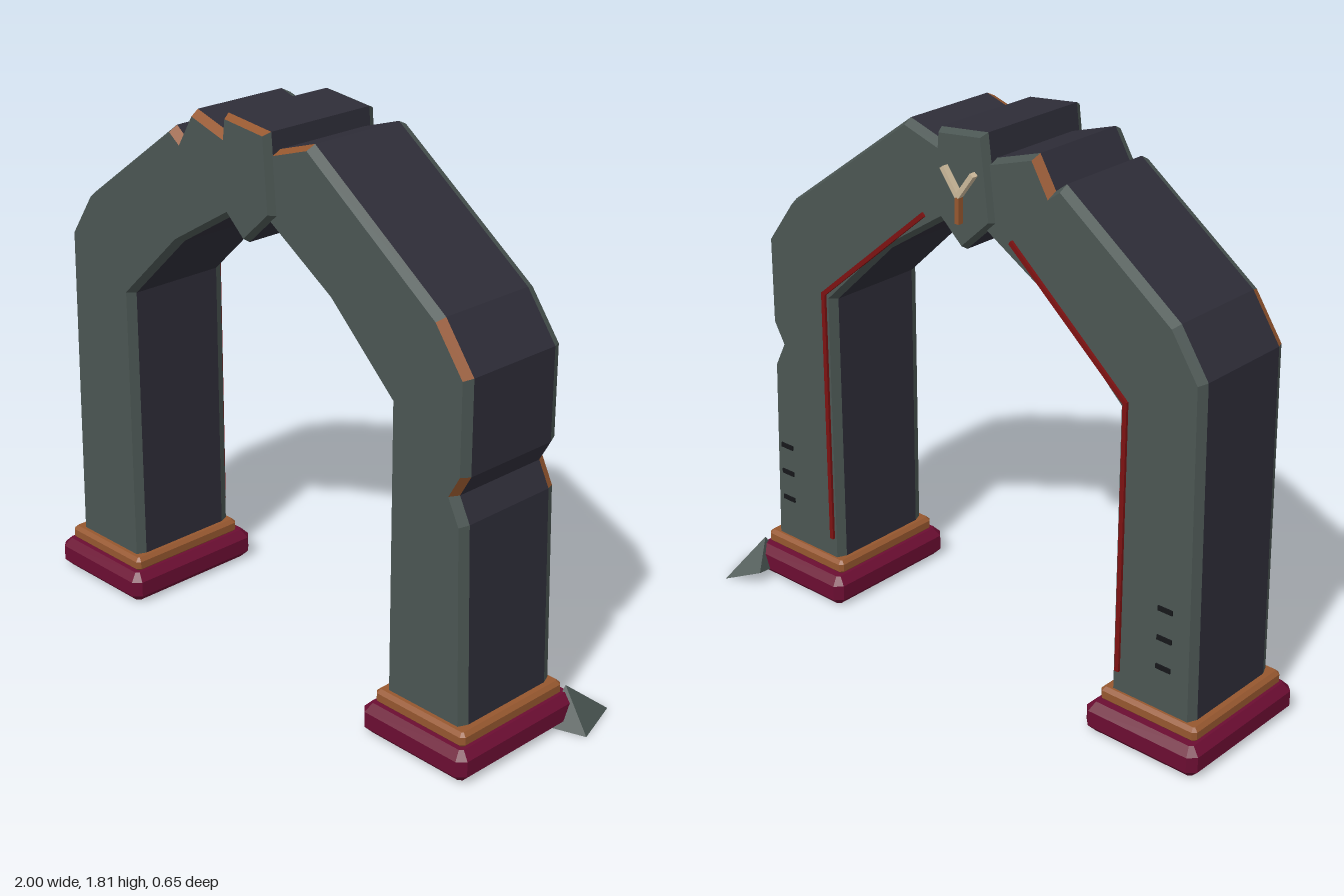
import * as THREE from 'three';
import { ConvexGeometry } from 'three/addons/geometries/ConvexGeometry.js';

const mat = (name, color) => Object.assign(new THREE.MeshStandardMaterial({ color }), { name });

// Prism with chamfered front and back rims. outline: counter-clockwise [x, y] points.
// Material slots: 0 faces and rims, 1 side walls, 2 worn rims (edge numbers in wornFront / wornBack).
function bevelPrism(outline, zBack, zFront, inset, depth, wornFront = [], wornBack = []) {
  const pts = outline.map(([x, y]) => new THREE.Vector2(x, y));
  const n = pts.length;
  const normal = (i) => {
    const d = pts[(i + 1) % n].clone().sub(pts[i % n]).normalize();
    return new THREE.Vector2(-d.y, d.x);
  };
  const inner = pts.map((p, i) => {
    const a = normal(i + n - 1), b = normal(i);
    return p.clone().addScaledVector(a.clone().add(b), inset / (1 + a.dot(b)));
  });
  const pos = [];
  const geo = new THREE.BufferGeometry();
  const face = (slot, ...corners) => {
    const start = pos.length / 3;
    for (let k = 1; k < corners.length - 1; k++)
      for (const [p, z] of [corners[0], corners[k], corners[k + 1]]) pos.push(p.x, p.y, z);
    geo.addGroup(start, pos.length / 3 - start, slot);
  };
  // Front and back caps
  for (const [a, b, c] of THREE.ShapeUtils.triangulateShape(inner, [])) {
    face(0, [inner[a], zFront], [inner[b], zFront], [inner[c], zFront]);
    face(0, [inner[c], zBack], [inner[b], zBack], [inner[a], zBack]);
  }
  // Walls and rims
  const zf = zFront - depth, zb = zBack + depth;
  for (let i = 0; i < n; i++) {
    const j = (i + 1) % n;
    face(1, [pts[i], zb], [pts[j], zb], [pts[j], zf], [pts[i], zf]);
    face(wornFront.includes(i) ? 2 : 0, [pts[i], zf], [pts[j], zf], [inner[j], zFront], [inner[i], zFront]);
    face(wornBack.includes(i) ? 2 : 0, [inner[i], zBack], [inner[j], zBack], [pts[j], zb], [pts[i], zb]);
  }
  geo.setAttribute('position', new THREE.Float32BufferAttribute(pos, 3));
  geo.computeVertexNormals();
  return geo;
}

// Flat slab with cut corners and chamfered top and bottom rims
function slab(x0, x1, z0, z1, y0, y1, cut, depth) {
  const a = -z1, b = -z0;
  const outline = [
    [x0 + cut, a], [x1 - cut, a], [x1, a + cut], [x1, b - cut],
    [x1 - cut, b], [x0 + cut, b], [x0, b - cut], [x0, a + cut],
  ];
  return bevelPrism(outline, y0, y1, cut, depth).rotateX(-Math.PI / 2);
}

// Straight bar between two points in the xy plane
function bar(x0, y0, x1, y1, width, thick, z) {
  return new THREE.BoxGeometry(Math.hypot(x1 - x0, y1 - y0), width, thick)
    .rotateZ(Math.atan2(y1 - y0, x1 - x0))
    .translate((x0 + x1) / 2, (y0 + y1) / 2, z);
}

export function createModel() {
  const stone = mat('greenGreyStone', 0x4b5653);
  const dark = mat('darkSlate', 0x2e2d38);
  const copper = mat('wornCopper', 0x96572f);
  const crimson = mat('crimsonBase', 0x6b0d32);
  const red = mat('redInlay', 0x7d1212);
  const bone = mat('paleBone', 0xcbb899);
  const black = mat('blackSlot', 0x16171a);
  const body = [stone, dark, copper];

  const model = new THREE.Group();
  model.name = 'archway';
  const add = (name, geo, material, parent = model) => {
    const mesh = new THREE.Mesh(geo, material);
    mesh.name = name;
    parent.add(mesh);
    return mesh;
  };

  // Arch halves, chipped along the outer edge
  const rightHalf = [
    [-0.94, 0.12], [-0.63, 0.12], [-0.63, 1.1], [-0.38, 1.34], [-0.04, 1.545], [-0.04, 1.7],
    [-0.3, 1.78], [-0.36, 1.68], [-0.4, 1.71], [-0.82, 1.4], [-0.92, 1.25],
  ];
  const leftHalf = [
    [0.55, 0.12], [0.86, 0.12], [0.84, 0.8], [0.8, 0.88], [0.84, 0.95], [0.84, 1.25],
    [0.73, 1.4], [0.21, 1.78], [-0.04, 1.7], [-0.04, 1.56], [0.3, 1.34], [0.55, 1.1],
  ];
  add('rightArchHalf', bevelPrism(rightHalf, -0.145, 0.26, 0.014, 0.032, [5, 7, 9], [6]), body);
  add('leftArchHalf', bevelPrism(leftHalf, -0.145, 0.26, 0.014, 0.032, [3, 5, 7], [2]), body);

  // Keystone
  const keystone = [[-0.125, 1.81], [-0.16, 1.54], [-0.04, 1.43], [0.08, 1.54], [0.06, 1.79]];
  add('keystone', bevelPrism(keystone, -0.165, 0.285, 0.012, 0.026, [4]), body);

  // Forked ornament on the back of the keystone
  const ornament = new THREE.Group();
  ornament.name = 'forkedOrnament';
  model.add(ornament);
  for (const s of [-1, 1])
    add('ornamentArm', bar(-0.04, 1.605, -0.04 + s * 0.06, 1.685, 0.016, 0.024, -0.174), bone, ornament);
  add('ornamentStem', bar(-0.04, 1.52, -0.04, 1.607, 0.016, 0.024, -0.173), copper, ornament);

  // Feet, one under each post
  for (const [side, x] of [['right', -1], ['left', 0.495]]) {
    add(side + 'Base', slab(x, x + 0.425, -0.21, 0.32, 0, 0.105, 0.025, 0.026), crimson);
    add(side + 'BaseTrim', slab(x + 0.03, x + 0.395, -0.165, 0.285, 0.1, 0.15, 0.012, 0.012), copper);
  }

  // Red inlay lines and slots on the back
  for (const [side, x, xTop, slotX] of [['right', -0.66, -0.22, -0.83], ['left', 0.58, 0.13, 0.79]]) {
    add(side + 'InlayPost', bar(x, 0.22, x, 1.125, 0.015, 0.012, -0.148), red);
    add(side + 'InlaySlope', bar(x, 1.12, xTop, 1.5, 0.015, 0.012, -0.148), red);
    for (const y of [0.3, 0.4, 0.5])
      add(side + 'Slot', bar(slotX - 0.027, y, slotX + 0.027, y, 0.016, 0.008, -0.146), black);
  }

  // Fallen chunk beside the left foot
  const chunk = [
    [0.89, 0.125, -0.18], [0.82, 0.045, -0.275], [0.94, 0, -0.33], [1, 0, -0.155], [0.87, 0, -0.11],
  ].map((p) => new THREE.Vector3(...p));
  add('fallenChunk', new ConvexGeometry(chunk), stone);

  return model;
}
